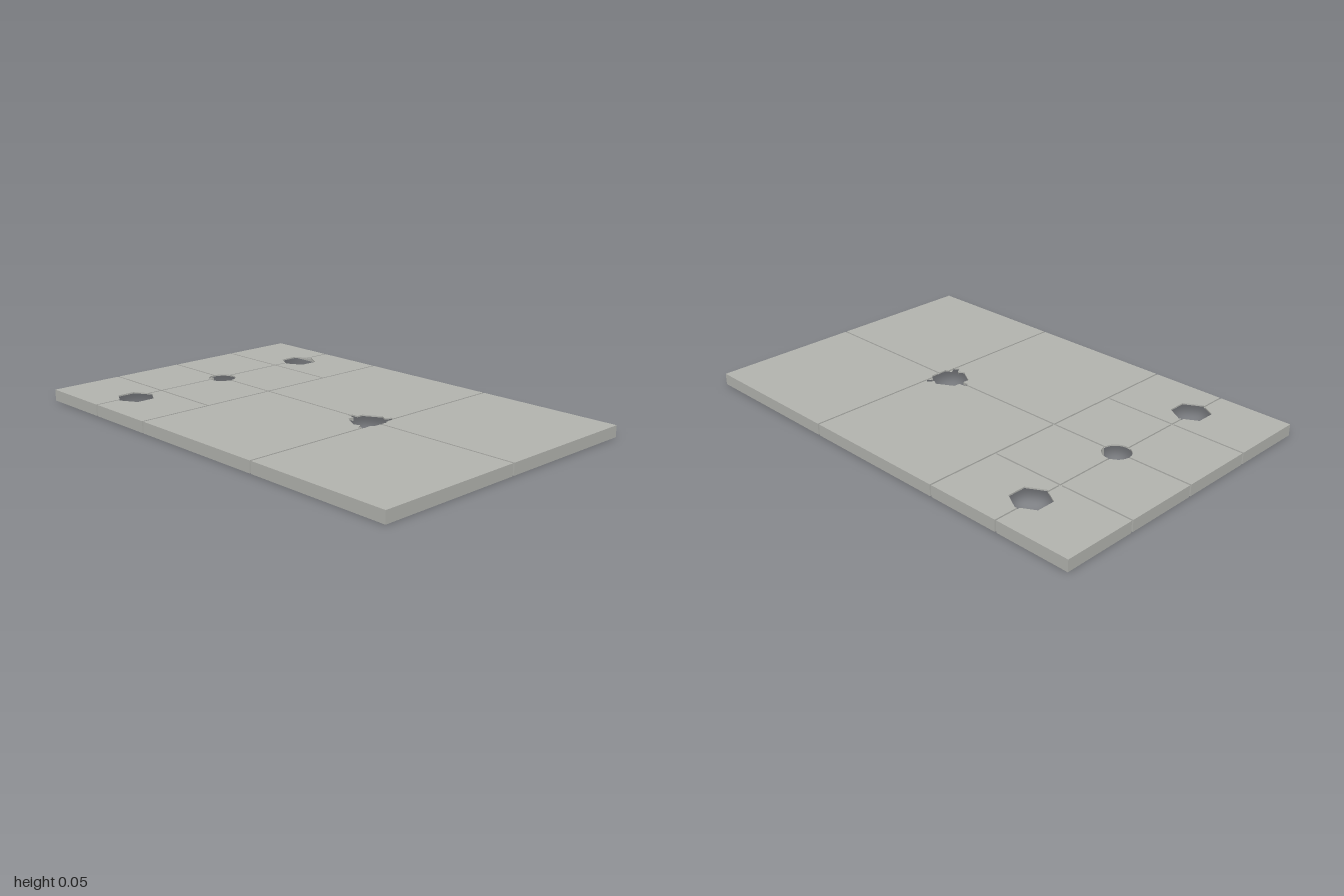
import * as THREE from 'three';

export function createModel() {
  const model = new THREE.Group();
  const grey = new THREE.MeshStandardMaterial({ color: 0xb4b5b0 });
  grey.name = 'light grey';

  const W = 0.665, L = 1, H = 0.05;      // half width, half length, height
  const G = 0.004, SKIN = 0.006;         // half groove width, groove depth
  const UNDER = 0.033, WALL = 0.014;     // underside of the plate, inner wall thickness
  const T = 1 / 3, HZ = -0.655;          // grid step, z of the back row of holes

  const add = (name, geometry) => {
    const mesh = new THREE.Mesh(geometry, grey);
    mesh.name = name;
    model.add(mesh);
  };
  const box = (name, x0, x1, y0, y1, z0, z1) => {
    const g = new THREE.BoxGeometry(Math.abs(x1 - x0), y1 - y0, z1 - z0);
    g.translate((x0 + x1) / 2, (y0 + y1) / 2, (z0 + z1) / 2);
    add(name, g);
  };
  // Points are [x, z]; the slab spans y0 to y1
  const toVectors = (pts) => pts.map(([x, z]) => new THREE.Vector2(x, -z));
  const slab = (name, pts, y0, y1, holes = []) => {
    const shape = new THREE.Shape(toVectors(pts));
    shape.holes = holes.map((h) => new THREE.Path(toVectors(h)));
    const g = new THREE.ExtrudeGeometry(shape, { depth: y1 - y0, bevelEnabled: false });
    g.rotateX(-Math.PI / 2).translate(0, y0, 0);
    add(name, g);
  };
  const arc = (r, cx, cz, a0, a1, n) => Array.from({ length: n + 1 }, (_, i) => {
    const a = a0 + (a1 - a0) * i / n;
    return [cx + r * Math.cos(a), cz + r * Math.sin(a)];
  });
  const mirror = (pts) => pts.map(([x, z]) => [-x, z]);

  // Plate with two hexagons, a round hole and a notched hexagon
  const notched = [[0.012, 0.175], [0.012, 0.205], [0.0415, 0.205], [0.083, 0.277], [0.069, 0.301],
    [0.095, 0.316], [0.081, 0.34], [0.055, 0.325], [0.0415, 0.349]];
  const hexagon = (cx) => arc(0.083, cx, HZ, 0, Math.PI * 5 / 3, 5);
  const w = W - SKIN, l = L - SKIN;
  slab('plate', [[-w, -l], [w, -l], [w, l], [-w, l]], UNDER, H - SKIN, [
    hexagon(0.475), hexagon(-0.475),
    arc(0.06, 0, HZ, 0, Math.PI * 2 * 31 / 32, 31),
    [...notched, ...mirror(notched).reverse()],
  ]);

  // Surface tiles for one half, mirrored to the other; the grooves are the gaps
  const zA = -2 * T - G, zB = -2 * T + G, xi = T - G, xo = T + G;
  const tiles = {
    outerBackTile: [[xo, -L], [W, -L], [W, zA], [0.549, zA], [0.5165, -0.727],
      [0.4335, -0.727], [0.401, zA], [xo, zA]],
    outerMiddleTile: [[xo, zB], [0.396, zB], [0.392, HZ], [0.4335, -0.583], [0.5165, -0.583],
      [0.558, HZ], [0.554, zB], [W, zB], [W, -T - G], [xo, -T - G]],
    innerBackTile: [[G, -L], [xi, -L], [xi, zA], ...arc(0.06, 0, HZ, -0.263, -1.504, 8)],
    innerMiddleTile: [[xi, -T - G], [xi, zB], ...arc(0.06, 0, HZ, -0.128, 1.504, 9), [G, -T - G]],
    centreTile: [[G, -T + G], [W, -T + G], [W, T - G], [0.0875, T - G], [0.095, 0.316],
      [0.069, 0.301], [0.083, 0.277], [0.0415, 0.205], [0.012, 0.205], [0.012, 0.175], [G, 0.175]],
    frontTile: [[W, L], [W, T + G], [0.083, T + G], [0.081, 0.34], [0.076, T + G],
      [0.048, T + G], [0.0415, 0.349], [G, 0.349], [G, L]],
  };
  for (const [name, pts] of Object.entries(tiles)) {
    slab(name, pts, H - SKIN, H);
    slab(name, mirror(pts), H - SKIN, H);
  }

  // Rim: inner walls, then outer facings split by the grooves
  const top = H - SKIN;
  for (const s of [1, -1]) {
    box('sideWall', s * (w - WALL), s * w, 0, UNDER, -l, l);
    const ends = [-L, -2 * T, -T, T, L];
    for (let i = 0; i < 4; i++) {
      box('sideFacing', s * w, s * W, 0, top, ends[i] + (i > 0 ? G : 0), ends[i + 1] - (i < 3 ? G : 0));
    }
    box('frontFacing', s * G, s * w, 0, top, l, L);
    box('backFacing', s * G, s * xi, 0, top, -L, -l);
    box('backFacing', s * xo, s * w, 0, top, -L, -l);
  }
  box('frontWall', -w + WALL, w - WALL, 0, UNDER, l - WALL, l);
  box('backWall', -w + WALL, w - WALL, 0, UNDER, -l, -l + WALL);

  // Ribs under the plate, interrupted around the holes
  const R = 0.01;
  for (const [z0, z1] of [[-l + WALL, -0.73], [-0.585, -T - R], [-T + R, 0.1], [0.44, l - WALL]]) {
    box('lengthRib', -R, R, 0, UNDER, z0, z1);
  }
  box('crossRib', -0.26, 0.26, 0, UNDER, -T - R, -T + R);
  for (const s of [1, -1]) {
    box('crossRib', s * 0.41, s * (w - WALL), 0, UNDER, -T - R, -T + R);
    box('crossRib', s * 0.17, s * (w - WALL), 0, UNDER, T - R, T + R);
  }
  return model;
}
